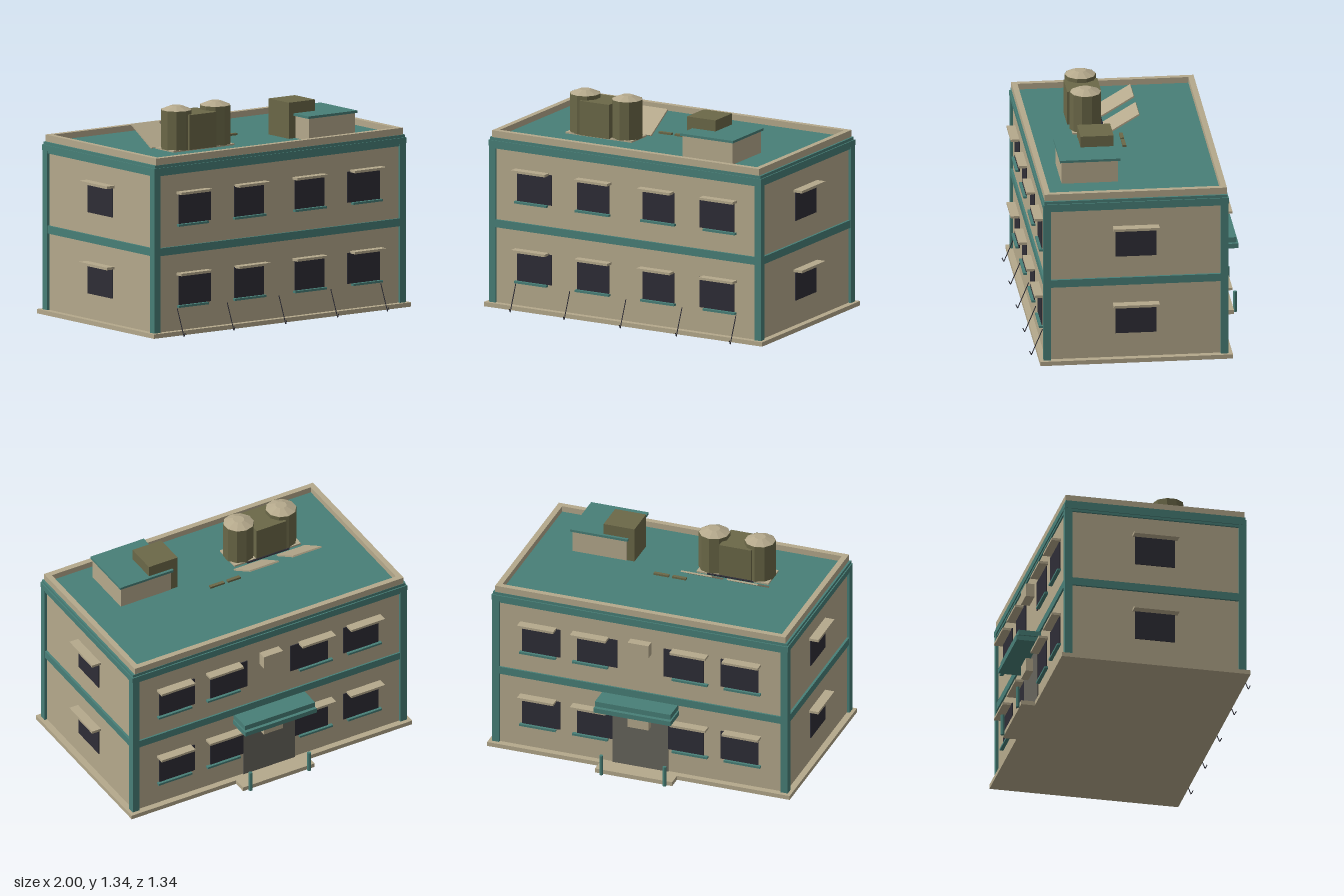
import * as THREE from 'three';

const mat = (name, color, flatShading = false) => {
  const m = new THREE.MeshStandardMaterial({ color, flatShading });
  m.name = name;
  return m;
};

export function createModel() {
  const beige = mat('beige plaster', 0xb5a98c, true);
  const teal = mat('teal paint', 0x487f77, true);
  const dark = mat('dark glass', 0x2e2d36);
  const olive = mat('olive metal', 0x6b6848, true);
  const grey = mat('grey door', 0x67655c);

  const model = new THREE.Group();
  model.name = 'building';

  const add = (name, geo, material) => {
    const mesh = new THREE.Mesh(geo, material);
    mesh.name = name;
    model.add(mesh);
    return mesh;
  };
  // Box given by its limits on each axis
  const box = (name, material, x0, x1, y0, y1, z0, z1) => {
    const mesh = add(name, new THREE.BoxGeometry(x1 - x0, y1 - y0, z1 - z0), material);
    mesh.position.set((x0 + x1) / 2, (y0 + y1) / 2, (z0 + z1) / 2);
    return mesh;
  };
  // Thin round rod between two points
  const rod = (name, material, a, b, r) => {
    const path = new THREE.LineCurve3(new THREE.Vector3(...a), new THREE.Vector3(...b));
    return add(name, new THREE.TubeGeometry(path, 1, r, 5), material);
  };
  // Rectangular ring seen from above
  const ring = (name, material, x, z0, z1, t, y0, y1) => {
    for (const s of [-1, 1]) {
      const [a, b] = s < 0 ? [-x, -x + t] : [x - t, x];
      box(name, material, a, b, y0, y1, z0, z1);
    }
    box(name, material, -x + t, x - t, y0, y1, z0, z0 + t);
    box(name, material, -x + t, x - t, y0, y1, z1 - t, z1);
  };

  // Walls, plinth and roof
  const front = 0.585, back = -0.515, side = 0.94;
  box('plinth', beige, -0.98, 0.98, 0.008, 0.035, -0.555, 0.622);
  box('walls', beige, -side, side, 0.035, 1.05, back, front);
  box('roofDeck', teal, -0.93, 0.93, 1.05, 1.073, -0.505, 0.575);
  ring('parapet', beige, 0.94, -0.522, 0.592, 0.035, 1.06, 1.11);

  // Teal frame: bands and corner columns
  ring('floorBand', teal, 0.955, -0.526, 0.598, 0.05, 0.507, 0.555);
  ring('roofBand', teal, 0.953, -0.524, 0.596, 0.05, 1.0, 1.068);
  ring('cornice', teal, 0.96, -0.531, 0.602, 0.05, 1.015, 1.05);
  for (const s of [-1, 1]) {
    const [x0, x1] = s < 0 ? [-0.958, -0.912] : [0.912, 0.958];
    box('cornerColumn', teal, x0, x1, 0.035, 1.03, 0.555, 0.6);
    box('cornerColumn', teal, x0, x1, 0.035, 1.03, -0.529, -0.483);
  }

  // Windows with sills and hoods on both floors, mirrored left and right
  for (const y of [0.19, 0.69]) {
    for (const s of [-1, 1]) {
      const span = (name, m, a, b, ...rest) =>
        box(name, m, Math.min(s * a, s * b), Math.max(s * a, s * b), ...rest);
      // front wall: window limits, sill limits, hood limits
      for (const [w0, w1, s0, s1, h0, h1] of [
        [0.52, 0.765, 0.55, 0.777, 0.543, 0.78],
        [0.118, 0.342, 0.11, 0.35, 0.103, 0.337]]) {
        span('frontWindow', dark, w0, w1, y, y + 0.19, front, front + 0.006);
        span('frontSill', teal, s0, s1, y - 0.014, y - 0.001, front, 0.608);
        span('frontHood', beige, h0, h1, y + 0.185, y + 0.2, front, 0.637);
      }
      // back wall
      for (const [w0, w1, h0, h1] of [[0.52, 0.765, 0.545, 0.78], [0.15, 0.41, 0.207, 0.438]]) {
        span('backWindow', dark, w0, w1, y, y + 0.19, back - 0.006, back);
        span('backSill', teal, h0, h1, y - 0.014, y - 0.001, -0.537, back);
        span('backHood', beige, h0, h1, y + 0.185, y + 0.2, -0.573, back);
      }
      // end walls
      span('sideWindow', dark, side, side + 0.006, y, y + 0.182, -0.09, 0.16);
      span('sideHood', beige, side, 1.0, y + 0.182, y + 0.198, -0.105, 0.175);
    }
    box('airConditioner', beige, -0.07, 0.065, y + 0.133, y + 0.217, -0.57, back);
  }

  // Back entrance
  box('door', grey, -0.18, 0.18, 0.035, 0.44, back - 0.009, back);
  box('porchStep', beige, -0.25, 0.25, 0.008, 0.035, -0.64, -0.55);
  box('canopyLower', teal, -0.25, 0.25, 0.438, 0.468, -0.668, back);
  box('canopyUpper', teal, -0.245, 0.245, 0.475, 0.508, -0.655, back);
  for (const x of [-0.205, 0.205]) {
    const post = add('porchPost', new THREE.CylinderGeometry(0.012, 0.012, 0.132, 8), teal);
    post.position.set(x, 0.074, -0.651);
  }

  // Leaning rods along the front
  for (const x of [-0.775, -0.395, 0, 0.395, 0.775]) {
    rod('frontRod', dark, [x, 0.17, 0.587], [x, 0.005, 0.655], 0.003);
    rod('frontRodHook', dark, [x, 0.005, 0.655], [x, 0.03, 0.667], 0.003);
  }

  // Roof hut with its cap and the tank box beside it
  box('roofHut', beige, 0.325, 0.675, 1.073, 1.212, 0.115, 0.46);
  box('roofHutCap', teal, 0.313, 0.685, 1.211, 1.226, 0.102, 0.47);
  box('tankBox', olive, 0.275, 0.475, 1.073, 1.295, 0.12, 0.322);

  // Water tanks on a low platform
  box('tankPlatform', beige, -0.59, -0.125, 1.07, 1.083, 0.125, 0.305);
  box('middleTank', olive, -0.482, -0.275, 1.08, 1.295, 0.115, 0.322);
  for (const x of [-0.503, -0.207]) {
    const tank = add('waterTank', new THREE.CylinderGeometry(0.096, 0.096, 0.24, 10), olive);
    tank.position.set(x, 1.2, 0.218);
    const cap = add('tankCap', new THREE.CylinderGeometry(0.035, 0.096, 0.025, 10), beige);
    cap.position.set(x, 1.332, 0.218);
  }

  // Tilted roof panels
  for (const x of [-0.505, -0.207]) {
    const panel = add('roofPanel', new THREE.BoxGeometry(0.2, 0.01, 0.235), beige);
    panel.position.set(x, 1.134, 0);
    panel.rotation.x = Math.atan2(0.12, 0.2);
  }

  // Pipes lying on the roof
  rod('tankPipe', dark, [-0.5, 1.085, 0.11], [-0.2, 1.085, 0.11], 0.006);
  box('roofPipe', olive, -0.1, -0.012, 1.073, 1.085, 0.003, 0.025);
  box('roofPipe', olive, 0.012, 0.11, 1.073, 1.085, 0.003, 0.025);

  return model;
}
